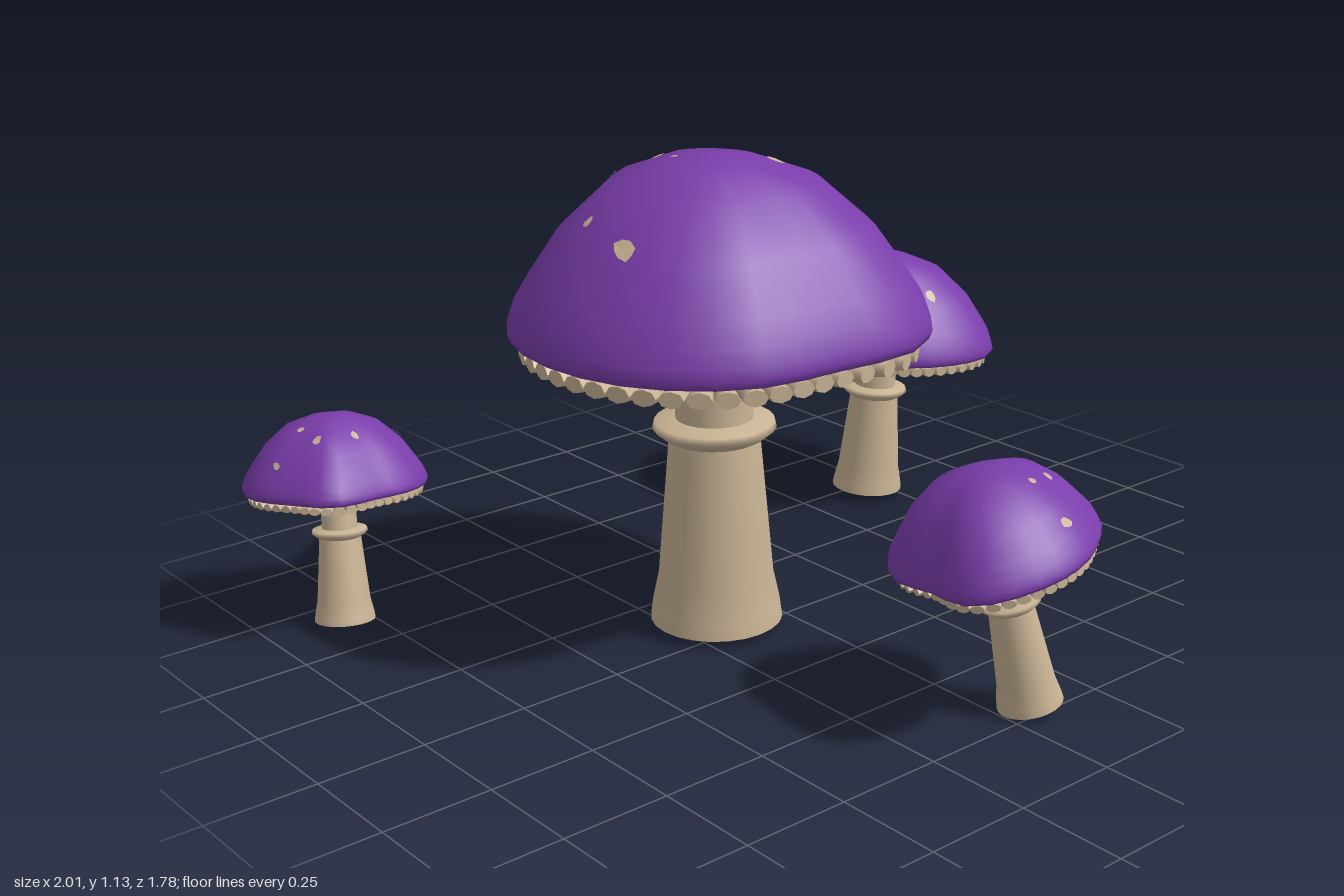
import * as THREE from 'three';
import { mergeGeometries, mergeVertices } from 'three/addons/utils/BufferGeometryUtils.js';

const purple = new THREE.MeshStandardMaterial({ color: 0x7a3dab });
purple.name = 'purple cap';
const tan = new THREE.MeshStandardMaterial({ color: 0xc8b394 });
tan.name = 'tan flesh';

// Uneven cap outline: smooth closed curve through radii at equal angles (from +x towards +z)
function makeOutline(radii) {
  const n = radii.length;
  return (angle) => {
    const u = ((angle / (2 * Math.PI)) * n + n * 2) % n;
    const i = Math.floor(u), t = u - i;
    const [a, b, c, d] = [-1, 0, 1, 2].map((k) => radii[(i + k + n) % n]);
    return b + 0.5 * t * (c - a + t * (2 * a - 5 * b + 4 * c - d + t * (3 * (b - c) + d - a)));
  };
}

function lathe(points, segments) {
  return new THREE.LatheGeometry(points.map(([r, y]) => new THREE.Vector2(r, y)), segments);
}

// Domed cap with a rounded lip; the underside may dip towards the stem
function capGeometry(outline, R, dip) {
  const geo = lathe([
    [0.12, -0.06 - dip], [0.5, -0.06 - dip * 0.3], [0.93, -0.055], [0.985, -0.04],
    [1, 0], [0.985, 0.05], [0.955, 0.13], [0.89, 0.235], [0.74, 0.455],
    [0.5, 0.675], [0.23, 0.78], [0, 0.81],
  ], 28);
  const p = geo.attributes.position;
  for (let i = 0; i < p.count; i++) {
    const s = outline(Math.atan2(p.getZ(i), p.getX(i)));
    p.setXYZ(i, p.getX(i) * s, p.getY(i) * R, p.getZ(i) * s);
  }
  geo.deleteAttribute('uv');
  geo.deleteAttribute('normal');
  const merged = mergeVertices(geo, 1e-5);
  merged.computeVertexNormals();
  return merged;
}

// Ring of rounded, tapering gills that follow the cap outline
function gillGeometry(outline, R, inner, drop) {
  const gills = [];
  const count = 46;
  for (let k = 0; k < count; k++) {
    const a = (k / count) * 2 * Math.PI;
    const outer = outline(a) * 0.94;
    const geo = new THREE.CylinderGeometry(1, 1, 1, 8, 2);
    const p = geo.attributes.position;
    for (let i = 0; i < p.count; i++) {
      const t = p.getY(i) + 0.5;
      const r = THREE.MathUtils.lerp(inner * R, outer, t);
      const top = -0.06 * R;
      const bottom = THREE.MathUtils.lerp(-drop, -0.14, t) * R;
      const y = (top + bottom) / 2 + (p.getX(i) * (top - bottom)) / 2;
      const w = -p.getZ(i) * (Math.PI * r / count) * 0.93;
      p.setXYZ(i, r * Math.cos(a) - w * Math.sin(a), y, r * Math.sin(a) + w * Math.cos(a));
    }
    geo.computeVertexNormals();
    gills.push(geo);
  }
  return mergeGeometries(gills);
}

// Thin irregular spots laid on the cap: each is [x, z, radius, lengthening along z]
function spotGeometry(cap, spots) {
  const ray = new THREE.Raycaster();
  const down = new THREE.Vector3(0, -1, 0);
  const project = (x, z) => {
    ray.set(new THREE.Vector3(x, 3, z), down);
    const hit = ray.intersectObject(cap)[0];
    if (!hit) return null;
    const normal = hit.face.normal.clone().transformDirection(cap.matrixWorld);
    return hit.point.addScaledVector(normal, 0.004);
  };
  const verts = [];
  for (const [x, z, size, stretch = 1] of spots) {
    const mid = project(x, z);
    if (!mid) continue;
    const rim = [];
    for (let k = 0; k < 8; k++) {
      const a = (k / 8) * 2 * Math.PI;
      const r = size * (1 + 0.12 * Math.sin(k * 2.3 + x * 40));
      rim.push(project(x + Math.cos(a) * r, z + Math.sin(a) * r * stretch) || mid);
    }
    rim.forEach((q, k) => verts.push(...mid, ...rim[(k + 1) % 8], ...q));
  }
  const geo = new THREE.BufferGeometry();
  geo.setAttribute('position', new THREE.Float32BufferAttribute(verts, 3));
  geo.computeVertexNormals();
  return geo;
}

function addMesh(parent, name, geo, mat) {
  const mesh = new THREE.Mesh(geo, mat);
  mesh.name = name;
  parent.add(mesh);
  return mesh;
}

// One mushroom: stem foot position, lean about x and z, stem height, foot radius, cap outline.
// An open one shows a purple hollow around the stem, inside the gills.
function makeMushroom(name, base, [leanX, leanZ], h, foot, open, radii, spots) {
  const group = new THREE.Group();
  group.name = name;
  const plant = new THREE.Group();
  plant.name = 'body';
  plant.position.set(...base);
  plant.rotation.set(leanX, 0, leanZ);
  group.add(plant);

  // Flared stem with a flat foot
  const neck = foot * 0.57, ringY = h * 0.65, ringR = foot * 0.92;
  addMesh(plant, 'foot', new THREE.CircleGeometry(foot, 24).rotateX(Math.PI / 2), tan);
  addMesh(plant, 'stem', lathe([
    [foot, 0], [foot * 0.97, h * 0.05], [foot * 0.87, h * 0.15],
    [foot * 0.68, ringY - h * 0.03], [neck * 1.02, ringY + h * 0.03], [neck, h],
  ], 24), tan);

  // Collar around the stem
  const c = ringR * 0.16;
  addMesh(plant, 'collar', lathe([
    [neck, ringY - c * 1.6], [ringR * 0.85, ringY - c * 0.8], [ringR, ringY],
    [ringR * 0.97, ringY + c * 0.7], [neck * 0.95, ringY + c * 1.1],
  ], 24), tan);

  // Cap and gills
  const head = new THREE.Group();
  head.name = 'head';
  head.position.y = h;
  plant.add(head);
  const R = radii.reduce((sum, r) => sum + r, 0) / radii.length;
  const outline = makeOutline(radii);
  const cap = addMesh(head, 'cap', capGeometry(outline, R, open ? 0.14 : 0), purple);
  addMesh(head, 'gills', gillGeometry(outline, R, open ? 0.41 : 0.17, open ? 0.2 : 0.25), tan);

  group.updateMatrixWorld(true);
  addMesh(group, 'spots', spotGeometry(cap, spots), tan);
  return group;
}

export function createModel() {
  const model = new THREE.Group();
  model.name = 'mushroom cluster';
  model.add(makeMushroom('largeMushroom', [-0.155, 0.025, -0.07], [0, 0], 0.725, 0.155, false,
    [0.476, 0.487, 0.492, 0.433, 0.46, 0.465, 0.46, 0.465, 0.46, 0.513, 0.481, 0.46],
    [[-0.165, -0.525, 0.02, 0.7], [-0.1, -0.385, 0.03, 0.7], [-0.03, -0.44, 0.011],
      [0.095, -0.38, 0.021, 1.7], [-0.285, -0.283, 0.026], [-0.01, -0.283, 0.022, 1.3],
      [-0.21, -0.187, 0.015], [-0.22, -0.117, 0.008], [-0.443, -0.134, 0.011],
      [-0.465, 0.021, 0.017, 1.8], [-0.037, 0.005, 0.02]]));
  model.add(makeMushroom('mediumMushroom', [0.69, 0.025, -0.455], [0.03, -0.06], 0.425, 0.093, false,
    [0.289, 0.3, 0.305, 0.278, 0.262, 0.257, 0.289, 0.289, 0.278, 0.278, 0.305, 0.294],
    [[0.615, -0.652, 0.013], [0.583, -0.54, 0.015], [0.652, -0.567, 0.014], [0.583, -0.422, 0.014],
      [0.663, -0.444, 0.008], [0.807, -0.497, 0.008], [0.72, -0.257, 0.013], [0.47, -0.54, 0.008]]));
  model.add(makeMushroom('frontMushroom', [0.072, 0.02, 0.72], [-0.13, 0.17], 0.375, 0.073, true,
    [0.235, 0.225, 0.214, 0.225, 0.24, 0.257, 0.214, 0.235, 0.24, 0.23, 0.214, 0.214],
    [[0.053, 0.497, 0.007], [0.118, 0.652, 0.015], [0.07, 0.743, 0.01],
      [0.011, 0.754, 0.008], [0.021, 0.84, 0.016, 0.5]]));
  model.add(makeMushroom('backMushroom', [-0.826, 0.022, -0.627], [-0.13, -0.08], 0.325, 0.07, true,
    [0.214, 0.209, 0.198, 0.187, 0.225, 0.198, 0.209, 0.214, 0.23, 0.209, 0.182, 0.23],
    [[-0.957, -0.647, 0.005, 2.2], [-0.882, -0.663, 0.008], [-0.877, -0.6, 0.01],
      [-0.797, -0.578, 0.009], [-0.652, -0.642, 0.008]]));
  return model;
}
